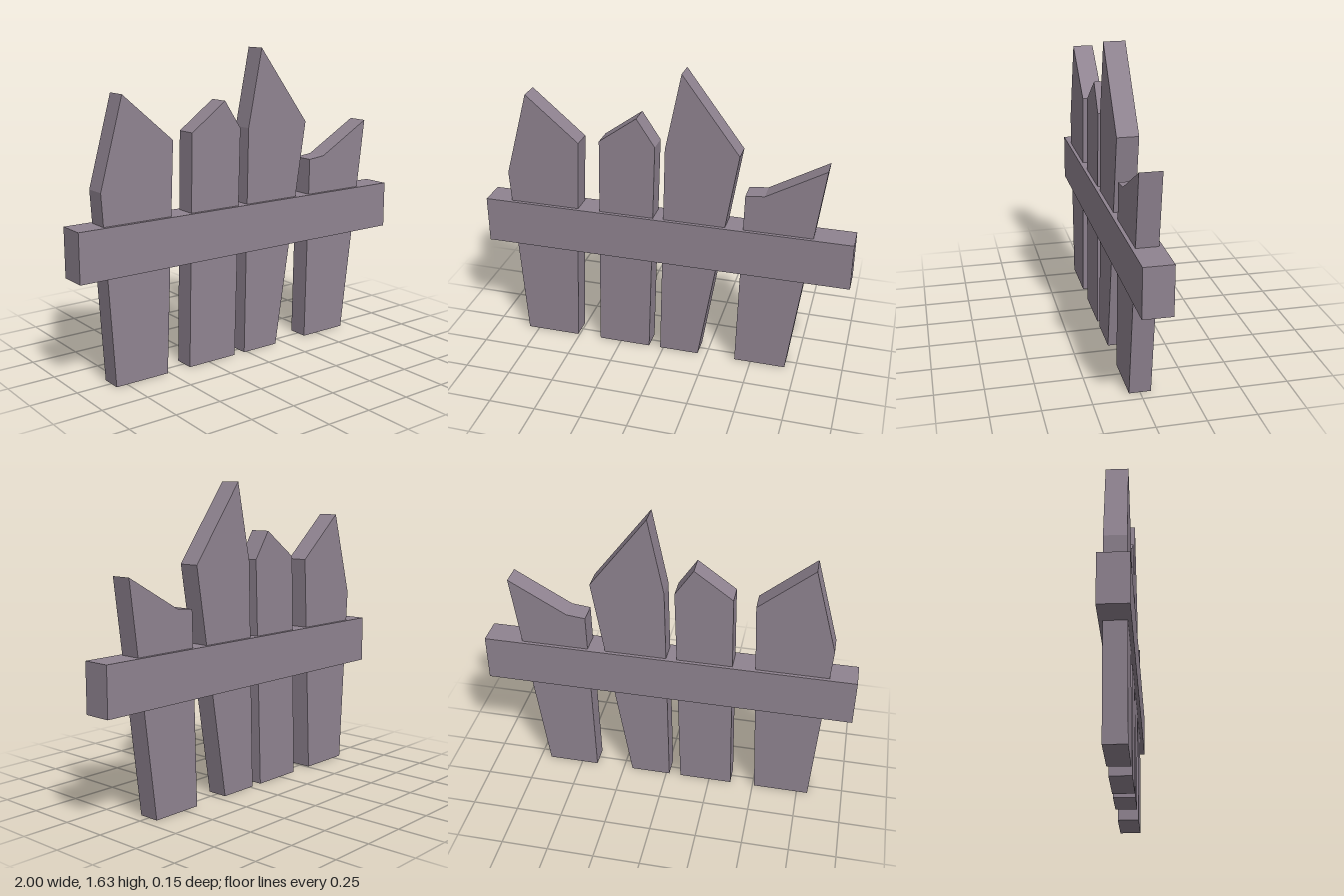
import * as THREE from 'three';

const RAIL_DEPTH = 0.15;
const PLANK_DEPTH = 0.112;

// Front outlines of the crooked planks, counter-clockwise from the bottom left
const PLANKS = {
  plankFarRight: [[-0.81, 0], [-0.51, 0], [-0.457, 1.205], [-0.738, 1.447], [-0.866, 0.99]],
  plankMidRight: [[-0.373, 0], [-0.083, 0], [-0.043, 1.23], [-0.14, 1.377], [-0.343, 1.23]],
  plankMidLeft: [[-0.018, 0], [0.2, 0], [0.398, 1.23], [0.095, 1.635], [0.01, 1.225]],
  plankFarLeft: [[0.41, 0], [0.69, 0], [0.84, 1.203], [0.533, 1.028], [0.433, 1.017]],
};

export function createModel() {
  const group = new THREE.Group();
  group.name = 'fence';
  const wood = new THREE.MeshStandardMaterial({ color: 0x8f8390, flatShading: true });

  // Upright planks
  for (const [name, outline] of Object.entries(PLANKS)) {
    const shape = new THREE.Shape(outline.map(([x, y]) => new THREE.Vector2(x, y)));
    const geometry = new THREE.ExtrudeGeometry(shape, { depth: PLANK_DEPTH, bevelEnabled: false });
    geometry.translate(0, 0, -PLANK_DEPTH / 2);
    const plank = new THREE.Mesh(geometry, wood);
    plank.name = name;
    group.add(plank);
  }

  // Single thick rail that wraps the planks
  const rail = new THREE.Mesh(new THREE.BoxGeometry(2, 0.256, RAIL_DEPTH), wood);
  rail.name = 'rail';
  rail.position.y = 0.694;
  group.add(rail);

  return group;
}
